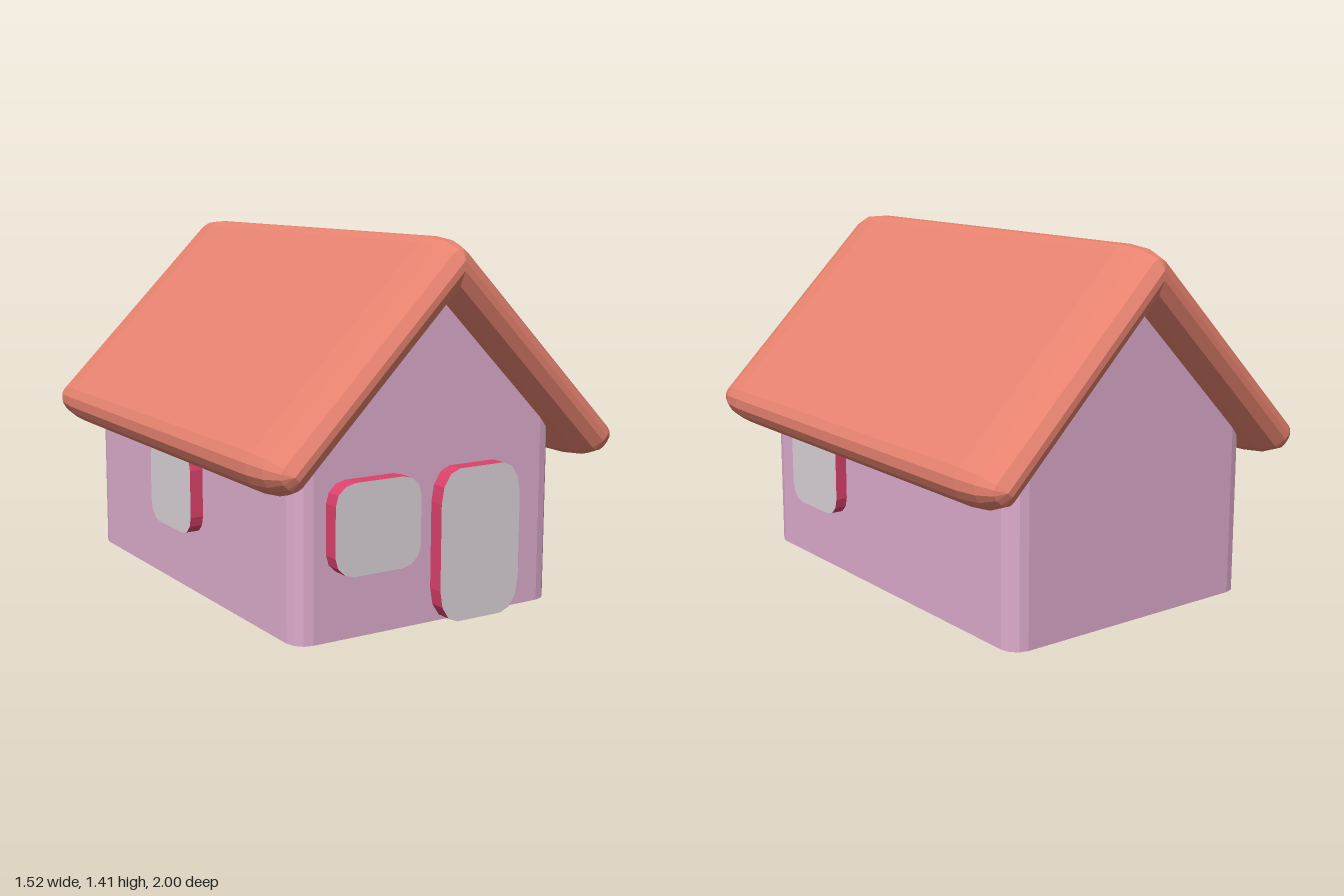
import * as THREE from 'three';

const flat = (name, color) => {
  const m = new THREE.MeshStandardMaterial({ color, flatShading: true });
  m.name = name;
  return m;
};

// Points of a rectangle with elliptical corners, anticlockwise; ridge adds points at x = 0
function roundedRect(x0, x1, y0, y1, rx, ry, ridge = false) {
  const corners = [[x1 - rx, y1 - ry], [x0 + rx, y1 - ry], [x0 + rx, y0 + ry], [x1 - rx, y0 + ry]];
  const pts = [];
  corners.forEach(([cx, cy], c) => {
    for (let i = 0; i <= 3; i++) {
      const a = (c + i / 3) * Math.PI / 2;
      pts.push(new THREE.Vector2(cx + rx * Math.cos(a), cy + ry * Math.sin(a)));
    }
    if (ridge && c === 0) pts.push(new THREE.Vector2(0, y1));
    if (ridge && c === 2) pts.push(new THREE.Vector2(0, y0));
  });
  return new THREE.Shape(pts);
}

// Gabled walls: a rounded plan pulled up, its top edge following the roof
function wallGeometry() {
  const plan = roundedRect(-0.595, 0.55, -0.855, 0.855, 0.07, 0.07, true);
  const geo = new THREE.ExtrudeGeometry(plan, { depth: 1, bevelEnabled: false, steps: 1 });
  geo.rotateX(-Math.PI / 2);
  const p = geo.attributes.position;
  for (let i = 0; i < p.count; i++) {
    if (p.getY(i) > 0.5) p.setY(i, 1.25 - Math.abs(p.getX(i)));
  }
  geo.computeVertexNormals();
  return geo;
}

// Thin chevron at the heart of the roof, clockwise from the ridge
const core = [[0, 1.333], [0.685, 0.648], [0.667, 0.631], [0, 1.298], [-0.667, 0.631], [-0.685, 0.648]];

// The chevron swollen by r: arcs round outer corners, a mitre at the inner one
function roofSection(r) {
  const out = [];
  const startAngles = [135, 45, -45, null, -45, -135];
  core.forEach(([x, y], k) => {
    if (startAngles[k] === null) {
      out.push([x, y - r * Math.SQRT2]);
      return;
    }
    for (let i = 0; i <= 3; i++) {
      const a = THREE.MathUtils.degToRad(startAngles[k] - i * 30);
      out.push([x + r * Math.cos(a), y + r * Math.sin(a)]);
    }
  });
  return out;
}

// Padded roof: sections along z that shrink to the core at both ends
function roofGeometry() {
  const r = 0.078, pos = [], index = [];
  const rings = [];
  for (let i = 3; i >= 0; i--) rings.push([-1, i]);
  for (let i = 0; i <= 3; i++) rings.push([1, i]);
  let n = 0;
  rings.forEach(([side, i]) => {
    const t = i * Math.PI / 6;
    const section = roofSection(r * Math.cos(t));
    n = section.length;
    section.forEach(([x, y]) => pos.push(x, y, side * (0.8 + 0.2 * Math.sin(t))));
  });
  for (let k = 0; k < rings.length - 1; k++) {
    for (let i = 0; i < n; i++) {
      const a = k * n + i, b = k * n + (i + 1) % n;
      index.push(a, a + n, b, b, a + n, b + n);
    }
  }
  const geo = new THREE.BufferGeometry();
  geo.setAttribute('position', new THREE.Float32BufferAttribute(pos, 3));
  geo.setIndex(index);
  const faceted = geo.toNonIndexed();
  faceted.computeVertexNormals();
  return faceted;
}

export function createModel() {
  const model = new THREE.Group();
  model.name = 'house';
  const wall = flat('wall pink', 0xdeaccd);
  const roof = flat('roof terracotta', 0xe6826f);
  const frame = flat('frame crimson', 0xdc426c);
  const pane = flat('pane grey', 0xdbd3da);

  const add = (parent, name, geo, mat) => {
    const mesh = new THREE.Mesh(geo, mat);
    mesh.name = name;
    parent.add(mesh);
    return mesh;
  };

  add(model, 'walls', wallGeometry(), wall);

  // Roof shell with its two flat end strips
  const roofGroup = new THREE.Group();
  roofGroup.name = 'roof';
  model.add(roofGroup);
  add(roofGroup, 'roofShell', roofGeometry(), roof);
  const strip = new THREE.ShapeGeometry(new THREE.Shape(core.map(([x, y]) => new THREE.Vector2(x, y))));
  add(roofGroup, 'frontRoofEnd', strip, roof).position.z = 1;
  const backEnd = add(roofGroup, 'backRoofEnd', strip, roof);
  backEnd.position.z = -1;
  backEnd.rotation.y = Math.PI;

  // Panels: grey faces with crimson rims, standing out from the wall
  const panel = (name, shape, turn, x, z) => {
    const geo = new THREE.ExtrudeGeometry(shape, { depth: 0.065, bevelEnabled: false });
    const mesh = add(model, name, geo, [pane, frame]);
    mesh.rotation.y = turn;
    mesh.position.set(x, 0, z);
  };
  panel('frontWindow', roundedRect(-0.475, -0.115, 0.245, 0.58, 0.08, 0.075), 0, 0, 0.853);
  panel('door', roundedRect(-0.025, 0.335, 0.005, 0.58, 0.08, 0.125), 0, 0, 0.853);
  const sideWindow = roundedRect(-0.178, 0.178, 0.245, 0.58, 0.075, 0.075);
  panel('leftWindow', sideWindow, Math.PI / 2, 0.534, 0.433);
  panel('rightWindow', sideWindow, -Math.PI / 2, -0.583, -0.03);

  return model;
}
